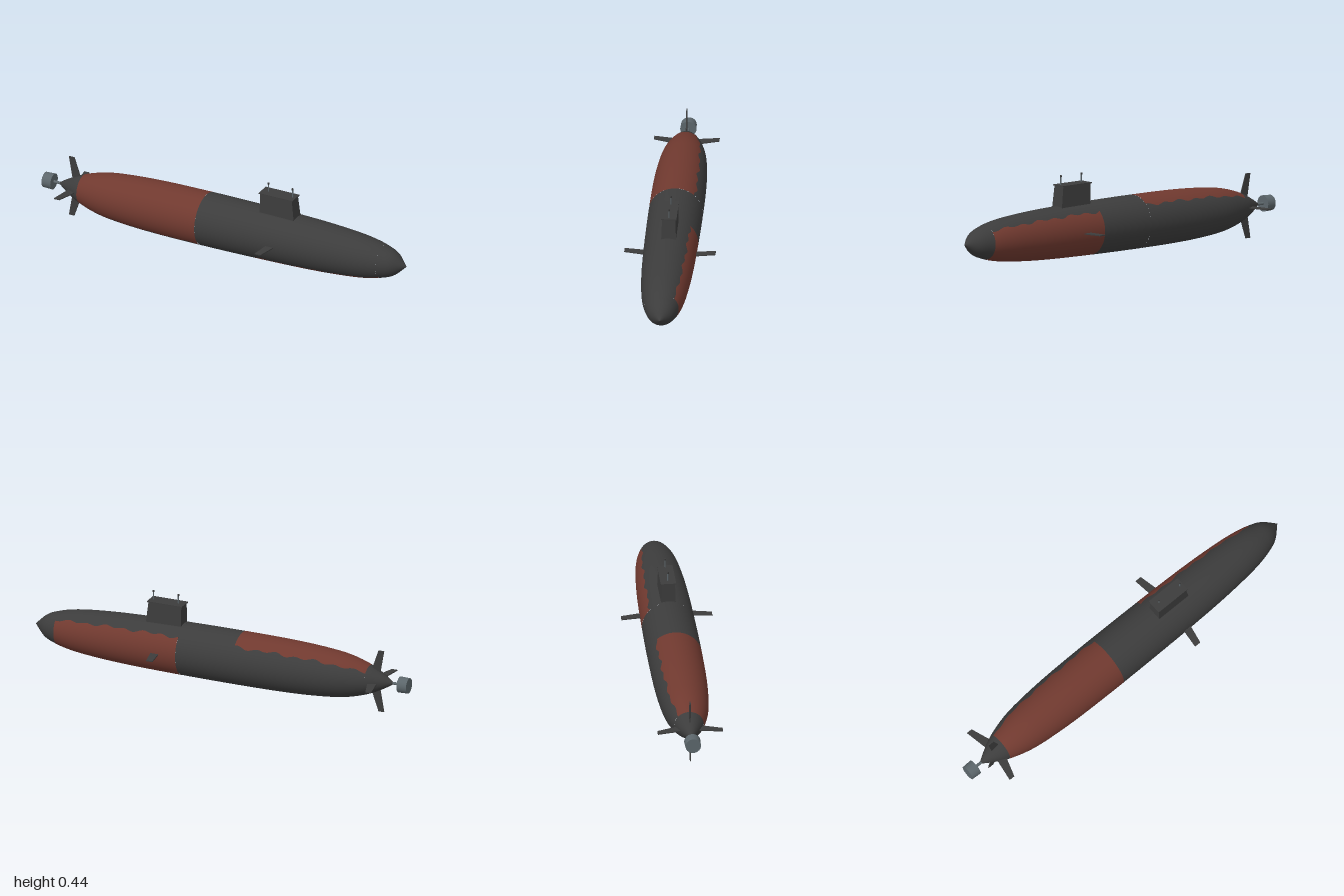
import * as THREE from 'three';

const AXIS = 0.16; // height of the hull centreline

// Hull radius along x
const PROFILE = [[-0.925, 0], [-0.87, 0.034], [-0.8, 0.069], [-0.7, 0.1], [-0.6, 0.116], [-0.4, 0.129],
  [-0.1, 0.133], [0.2, 0.131], [0.5, 0.124], [0.7, 0.111], [0.8, 0.098], [0.87, 0.081], [0.93, 0.056], [0.99, 0]];

function radius(x) {
  const n = PROFILE.length;
  let i = 0;
  while (i < n - 2 && x > PROFILE[i + 1][0]) i++;
  const slope = (k) => {
    const a = PROFILE[Math.max(k - 1, 0)], b = PROFILE[Math.min(k + 1, n - 1)];
    return (b[1] - a[1]) / (b[0] - a[0]);
  };
  const [x0, r0] = PROFILE[i], [x1, r1] = PROFILE[i + 1];
  const h = x1 - x0, t = THREE.MathUtils.clamp((x - x0) / h, 0, 1), t2 = t * t, t3 = t2 * t;
  return Math.max(0, (2 * t3 - 3 * t2 + 1) * r0 + (t3 - 2 * t2 + t) * h * slope(i)
    + (3 * t2 - 2 * t3) * r1 + (t3 - t2) * h * slope(i + 1));
}

// Part of the hull skin between two x positions and two edge angles (0 = +z, 90 degrees = up)
function skin(x0, x1, from, to) {
  const nx = Math.max(8, Math.ceil((x1 - x0) / 0.015)), na = 36;
  const pos = [], nor = [], idx = [];
  for (let i = 0; i <= nx; i++) {
    const x = x0 + (x1 - x0) * i / nx, r = radius(x);
    const lo = Math.max(x - 0.004, -0.925), hi = Math.min(x + 0.004, 0.99);
    const slope = (radius(hi) - radius(lo)) / (hi - lo), len = Math.hypot(1, slope);
    for (let j = 0; j <= na; j++) {
      const a = THREE.MathUtils.lerp(from(x), to(x), j / na);
      pos.push(x, AXIS + r * Math.sin(a), r * Math.cos(a));
      nor.push(-slope / len, Math.sin(a) / len, Math.cos(a) / len);
      if (i < nx && j < na) {
        const p = i * (na + 1) + j, q = p + na + 1;
        idx.push(p, q, q + 1, p, q + 1, p + 1);
      }
    }
  }
  const g = new THREE.BufferGeometry();
  g.setAttribute('position', new THREE.Float32BufferAttribute(pos, 3));
  g.setAttribute('normal', new THREE.Float32BufferAttribute(nor, 3));
  g.setIndex(idx);
  return g;
}

// Thin swept fin pointing up from the hull axis
function finGeometry(points, thickness) {
  const shape = new THREE.Shape(points.map(([x, y]) => new THREE.Vector2(x, y)));
  return new THREE.ExtrudeGeometry(shape, { depth: thickness, bevelEnabled: false })
    .translate(0, 0, -thickness / 2);
}

export function createModel() {
  const group = new THREE.Group();
  const material = (name, color) => {
    const m = new THREE.MeshStandardMaterial({ color });
    m.name = name;
    return m;
  };
  const dark = material('dark hull', 0x3c3c3c);
  const red = material('red oxide', 0x70392f);
  const metal = material('grey metal', 0x5c666b);
  const add = (name, geometry, mat, x = 0, y = 0, z = 0) => {
    const mesh = new THREE.Mesh(geometry, mat);
    mesh.name = name;
    mesh.position.set(x, y, z);
    group.add(mesh);
    return mesh;
  };

  // Hull, with wavy edges between the dark and red areas
  const wave = (x) => 0.05 * Math.sin(x * 62) + 0.03 * Math.sin(x * 29 + 1);
  const low = (x) => -Math.PI / 4 - 0.08 + wave(x + 0.4);
  const high = (x) => Math.PI * 0.75 + wave(x);
  const lowNext = (x) => low(x) + Math.PI * 2;
  const zero = () => 0, full = () => Math.PI * 2;
  add('tailCone', skin(-0.925, -0.79, zero, full), dark);
  add('sternRedSide', skin(-0.79, -0.11, low, high), red);
  add('sternDarkSide', skin(-0.79, -0.11, high, lowNext), dark);
  add('midHull', skin(-0.11, 0.19, zero, full), dark);
  add('bowDarkSide', skin(0.19, 0.86, low, high), dark);
  add('bowRedSide', skin(0.19, 0.86, high, lowNext), red);
  add('nose', skin(0.86, 0.99, zero, full), dark);

  // Tower: tapered box with a raked front
  const tower = new THREE.BoxGeometry(0.19, 0.13, 0.074);
  const p = tower.attributes.position;
  for (let i = 0; i < p.count; i++) {
    if (p.getY(i) < 0) continue;
    if (p.getX(i) > 0) p.setX(i, 0.08);
    p.setZ(i, p.getZ(i) * 0.88);
  }
  tower.computeVertexNormals();
  add('tower', tower, dark, 0.295, 0.322, 0);
  add('towerRoof', new THREE.BoxGeometry(0.186, 0.005, 0.076), dark, 0.288, 0.389, 0);

  // Masts with small heads
  for (const x of [0.23, 0.363]) {
    add('mast', new THREE.CylinderGeometry(0.003, 0.003, 0.05, 10), metal, x, 0.41, 0);
    add('mastHead', new THREE.CylinderGeometry(0.005, 0.005, 0.009, 10), dark, x, 0.434, 0);
  }

  // Cross of four tail fins
  const tailFin = finGeometry([[-0.843, 0.02], [-0.79, 0.02], [-0.838, 0.16], [-0.867, 0.16]], 0.005);
  for (let k = 0; k < 4; k++) add('tailFin', tailFin, dark, 0, AXIS, 0).rotation.x = k * Math.PI / 2;

  // Pair of bow planes
  const bowPlane = finGeometry([[0.285, 0.09], [0.33, 0.09], [0.303, 0.223], [0.27, 0.223]], 0.005);
  for (const s of [-1, 1]) add('bowPlane', bowPlane, dark, 0, AXIS, 0).rotation.x = s * Math.PI / 2;

  // Propulsor drum and shaft
  const shaft = new THREE.CylinderGeometry(0.007, 0.007, 0.08, 16).rotateZ(Math.PI / 2);
  add('propellerShaft', shaft, metal, -0.925, AXIS, 0);
  const drum = new THREE.CylinderGeometry(0.038, 0.04, 0.05, 28).rotateZ(Math.PI / 2);
  add('propulsorDrum', drum, metal, -0.975, AXIS, 0);

  return group;
}
